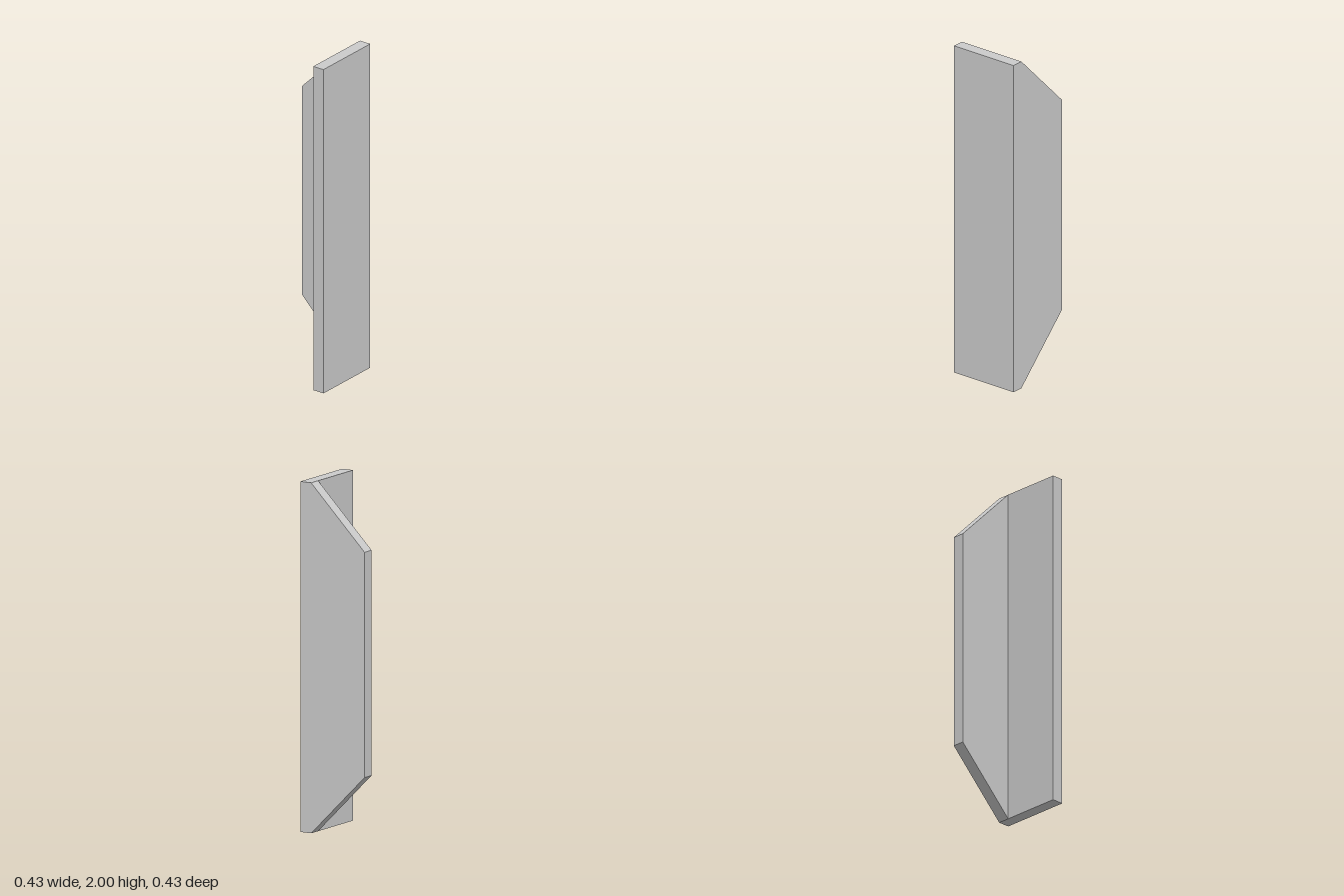
import * as THREE from 'three';

const HEIGHT = 2;
const HALF = 0.2143; // half the width of each leg of the angle
const THICK = 0.0714; // plate thickness
const INNER = HALF - THICK;
const MITRE = HALF + INNER; // 45 degree cut on the side flange

export function createModel() {
  const group = new THREE.Group();
  group.name = 'mitredAngleBar';
  const material = new THREE.MeshStandardMaterial({ color: 0xcccccc, flatShading: true });

  // Full-height rectangular plate across the front
  const frontPlate = new THREE.Mesh(new THREE.BoxGeometry(2 * HALF, HEIGHT, THICK), material);
  frontPlate.name = 'frontPlate';
  frontPlate.position.set(0, HEIGHT / 2, HALF - THICK / 2);
  group.add(frontPlate);

  // Side flange running back from the plate, mitred at both ends
  const profile = new THREE.Shape([
    new THREE.Vector2(-INNER, 0),
    new THREE.Vector2(HALF, MITRE),
    new THREE.Vector2(HALF, HEIGHT - MITRE),
    new THREE.Vector2(-INNER, HEIGHT),
  ]);
  const flangeGeometry = new THREE.ExtrudeGeometry(profile, { depth: THICK, bevelEnabled: false });
  flangeGeometry.rotateY(Math.PI / 2); // profile x becomes -z, depth becomes +x
  const sideFlange = new THREE.Mesh(flangeGeometry, material);
  sideFlange.name = 'sideFlange';
  sideFlange.position.x = INNER;
  group.add(sideFlange);

  return group;
}
